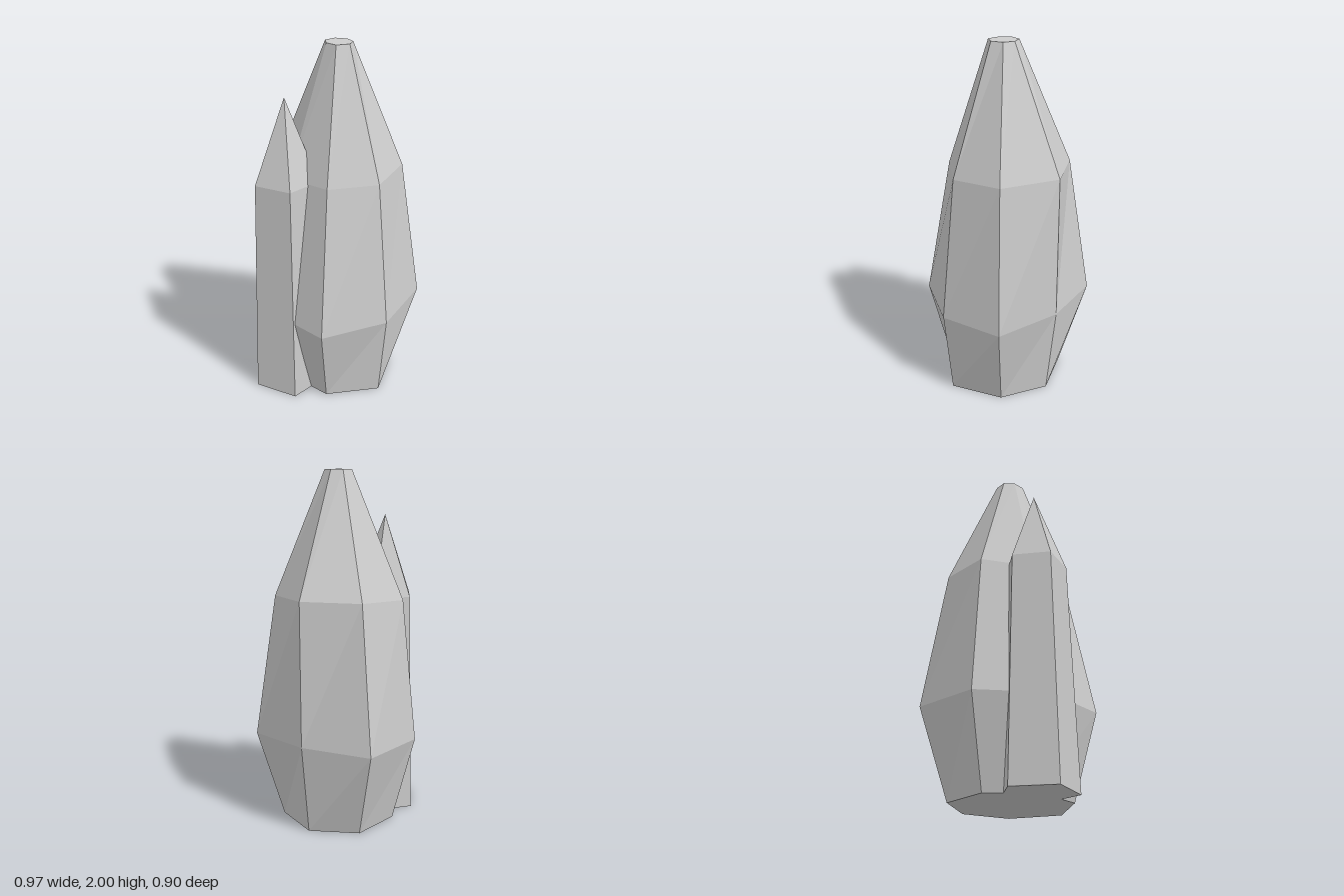
import * as THREE from 'three';

const material = new THREE.MeshStandardMaterial({ color: 0xcccccc, flatShading: true });

// Faceted crystal: each ring lists one [radius, height] per side, from base to tip.
function crystal(name, cx, cz, startAngle, rings) {
  const n = rings[0].length;
  const points = rings.map((ring) => ring.map(([r, y], i) => {
    const a = startAngle + (i / n) * Math.PI * 2;
    return [cx + r * Math.cos(a), y, cz + r * Math.sin(a)];
  }));
  const pos = [];
  const tri = (a, b, c) => pos.push(...a, ...b, ...c);
  const base = points[0], top = points[points.length - 1];
  for (let i = 0; i < n; i++) {
    const j = (i + 1) % n;
    // side facets
    for (let k = 0; k < points.length - 1; k++) {
      const lo = points[k], up = points[k + 1];
      tri(lo[j], lo[i], up[i]);
      if (rings[k + 1][i][0] > 0) tri(lo[j], up[i], up[j]);
    }
    // base and tip caps
    tri([cx, base[i][1], cz], base[i], base[j]);
    if (rings[rings.length - 1][i][0] > 0) tri([cx, top[i][1], cz], top[j], top[i]);
  }
  const geometry = new THREE.BufferGeometry();
  geometry.setAttribute('position', new THREE.Float32BufferAttribute(pos, 3));
  geometry.computeVertexNormals();
  const mesh = new THREE.Mesh(geometry, material);
  mesh.name = name;
  return mesh;
}

const level = (radii, y) => radii.map((r) => [r, y]);

export function createModel() {
  const group = new THREE.Group();
  group.name = 'crystalCluster';

  // Large seven-sided crystal with an uneven waist and a blunt tip
  group.add(crystal('mainCrystal', 0.05, 0.037, Math.PI / 7, [
    level([0.328, 0.372, 0.345, 0.328, 0.33, 0.335, 0.328], 0),
    [[0.478, 0.51], [0.42, 0.485], [0.479, 0.48], [0.445, 0.49], [0.458, 0.5], [0.5, 0.51], [0.39, 0.52]],
    [[0.355, 1.315], [0.33, 1.3], [0.322, 1.3], [0.305, 1.29], [0.375, 1.3], [0.368, 1.32], [0.39, 1.33]],
    level([0.073, 0.083, 0.087, 0.075, 0.08, 0.08, 0.073], 2),
  ]));

  // Small five-sided crystal growing out of its side
  const five = (r) => Array(5).fill(r);
  group.add(crystal('sideCrystal', -0.27, 0.037, Math.PI / 5, [
    level(five(0.215), 0),
    level(five(0.18), 1.285),
    level(five(0), 1.745),
  ]));

  return group;
}
